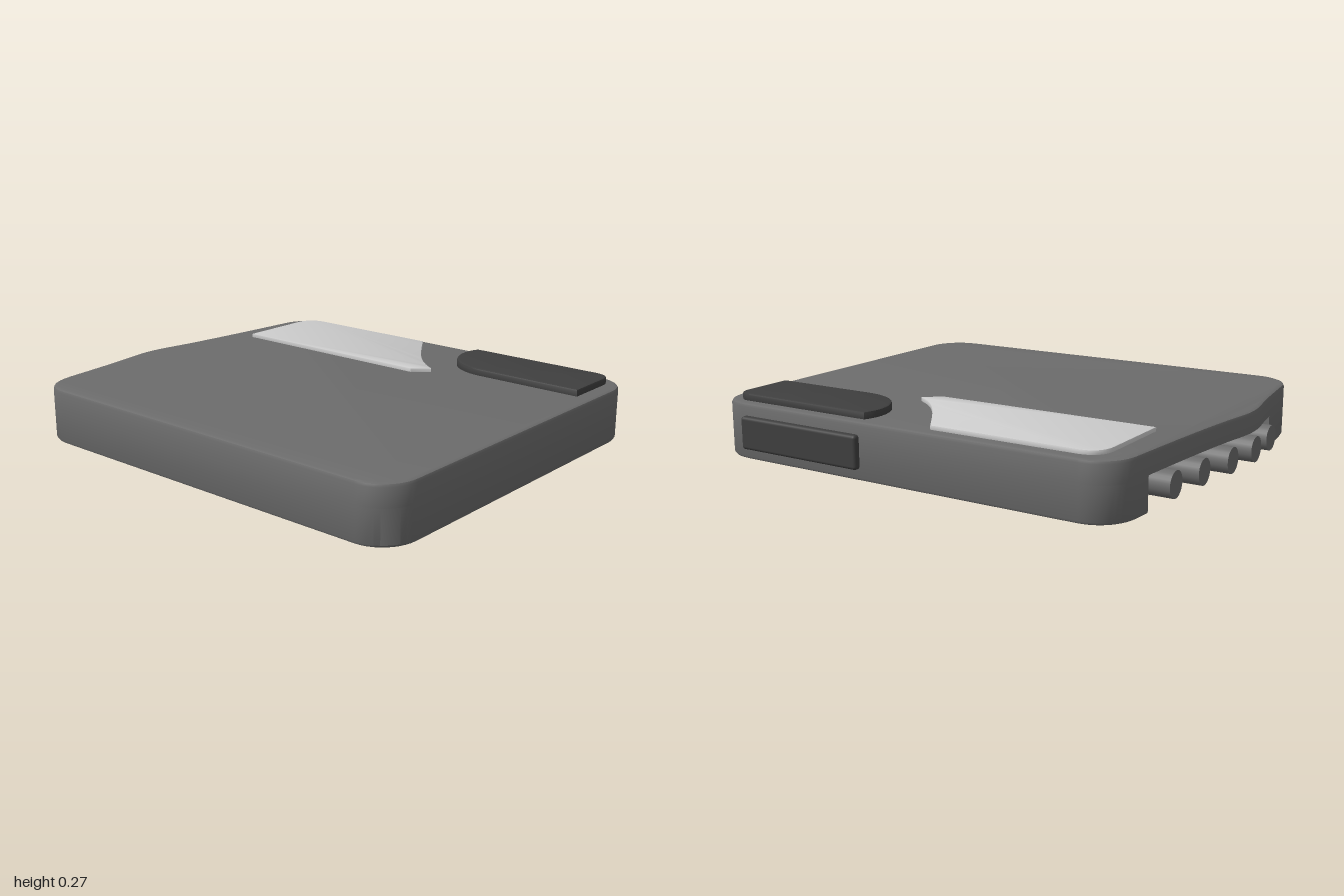
import * as THREE from 'three';
import { toCreasedNormals } from 'three/addons/utils/BufferGeometryUtils.js';
import { RoundedBoxGeometry } from 'three/addons/geometries/RoundedBoxGeometry.js';

const V = (x, y) => new THREE.Vector2(x, y);
const bodyMat = new THREE.MeshStandardMaterial({ color: 0x6c6c6c });
const darkMat = new THREE.MeshStandardMaterial({ color: 0x3f3f3f });
const labelMat = new THREE.MeshStandardMaterial({ color: 0xcccccc });

// Stacks an outline (x, -z) through rings of [height, scale] and caps both ends.
function stack(points, rings) {
  const pos = [], n = points.length;
  const put = (i, [y, s]) => pos.push(points[i].x * s, y, -points[i].y * s);
  for (let r = 0; r < rings.length - 1; r++) {
    const lo = rings[r], hi = rings[r + 1];
    for (let i = 0; i < n; i++) {
      const j = (i + 1) % n;
      put(i, lo); put(j, lo); put(j, hi);
      put(i, lo); put(j, hi); put(i, hi);
    }
  }
  const top = rings[rings.length - 1];
  for (const [a, b, c] of THREE.ShapeUtils.triangulateShape(points.slice(), [])) {
    put(a, top); put(b, top); put(c, top);
    put(a, rings[0]); put(c, rings[0]); put(b, rings[0]);
  }
  const g = new THREE.BufferGeometry();
  g.setAttribute('position', new THREE.Float32BufferAttribute(pos, 3));
  return toCreasedNormals(g, 0.6);
}

// Flat plate lying on the lid, with a small rounded rim.
function plate(shape, y0, y1, bevel) {
  const g = new THREE.ExtrudeGeometry(shape, {
    depth: y1 - y0 - bevel, bevelEnabled: true, bevelSize: bevel, bevelOffset: -bevel,
    bevelThickness: bevel, bevelSegments: 2, curveSegments: 12,
  });
  g.rotateX(-Math.PI / 2).translate(0, y0, 0);
  return toCreasedNormals(g, 0.6);
}

export function createModel() {
  const model = new THREE.Group();
  const add = (name, geo, mat) => {
    const m = new THREE.Mesh(geo, mat);
    m.name = name;
    model.add(m);
    return m;
  };

  // Case outline: rounded corners and a bowed back edge
  const outline = new THREE.Shape();
  outline.moveTo(-0.7, -1);
  outline.lineTo(0.675, -1);
  outline.bezierCurveTo(0.76, -1, 0.825, -0.935, 0.825, -0.85);
  outline.lineTo(0.825, 0.74);
  outline.bezierCurveTo(0.825, 0.82, 0.77, 0.885, 0.68, 0.893);
  outline.splineThru([V(0.4, 0.917), V(0.2, 0.937), V(0.03, 0.958), V(-0.1, 0.979),
    V(-0.18, 0.984), V(-0.26, 0.978), V(-0.4, 0.953), V(-0.55, 0.932), V(-0.7, 0.913)]);
  outline.bezierCurveTo(-0.8, 0.9, -0.855, 0.835, -0.855, 0.75);
  outline.lineTo(-0.855, -0.85);
  outline.bezierCurveTo(-0.855, -0.935, -0.785, -1, -0.7, -1);
  const full = outline.getPoints(10);
  if (full[0].distanceTo(full[full.length - 1]) < 1e-5) full.pop();

  // Lower half has a socket recess cut into the back edge
  const notched = [];
  let cut = false;
  for (const p of full) {
    if (p.y > 0.8 && p.x > -0.465 && p.x < 0.6) {
      if (!cut) notched.push(V(0.6, 0.9), V(0.6, 0.79), V(-0.465, 0.79), V(-0.465, 0.944));
      cut = true;
    } else notched.push(p);
  }
  add('lowerCase', stack(notched, [[0.003, 0.986], [0.007, 0.995], [0.016, 1], [0.15, 1]]), bodyMat);
  add('upperCase', stack(full, [[0.15, 1], [0.226, 1], [0.236, 0.996], [0.24, 0.987]]), bodyMat);

  // Row of round sockets in the recess
  [[-0.385, 0.985], [-0.18, 1], [0.027, 0.985], [0.233, 0.955], [0.44, 0.934]].forEach(([x, end], i) => {
    const length = end - 0.78;
    const socket = add('socket' + (i + 1), new THREE.CylinderGeometry(0.054, 0.054, length, 24), bodyMat);
    socket.rotation.x = Math.PI / 2;
    socket.position.set(x, 0.08, -0.78 - length / 2);
  });

  // Light inlay on the lid
  const label = new THREE.Shape();
  label.moveTo(0.34, 0.8);
  label.lineTo(0.34, -0.18);
  label.lineTo(0.4, -0.25);
  label.bezierCurveTo(0.47, -0.13, 0.56, -0.07, 0.77, 0.07);
  label.lineTo(0.77, 0.7);
  label.quadraticCurveTo(0.77, 0.8, 0.67, 0.8);
  add('lidInlay', plate(label, 0.236, 0.257, 0.002), labelMat);

  // Dark raised pad with one large rounded corner
  const pad = new THREE.Shape();
  pad.moveTo(0.487, -0.93);
  pad.lineTo(0.71, -0.93);
  pad.quadraticCurveTo(0.777, -0.93, 0.777, -0.86);
  pad.lineTo(0.777, -0.245);
  pad.quadraticCurveTo(0.74, -0.225, 0.69, -0.225);
  pad.bezierCurveTo(0.58, -0.23, 0.487, -0.32, 0.487, -0.45);
  add('lidPad', plate(pad, 0.236, 0.27, 0.008), darkMat);

  // Dark panel on the left side wall
  add('sidePanel', new RoundedBoxGeometry(0.06, 0.14, 0.61, 3, 0.014), darkMat)
    .position.set(0.821, 0.12, 0.54);

  return model;
}
